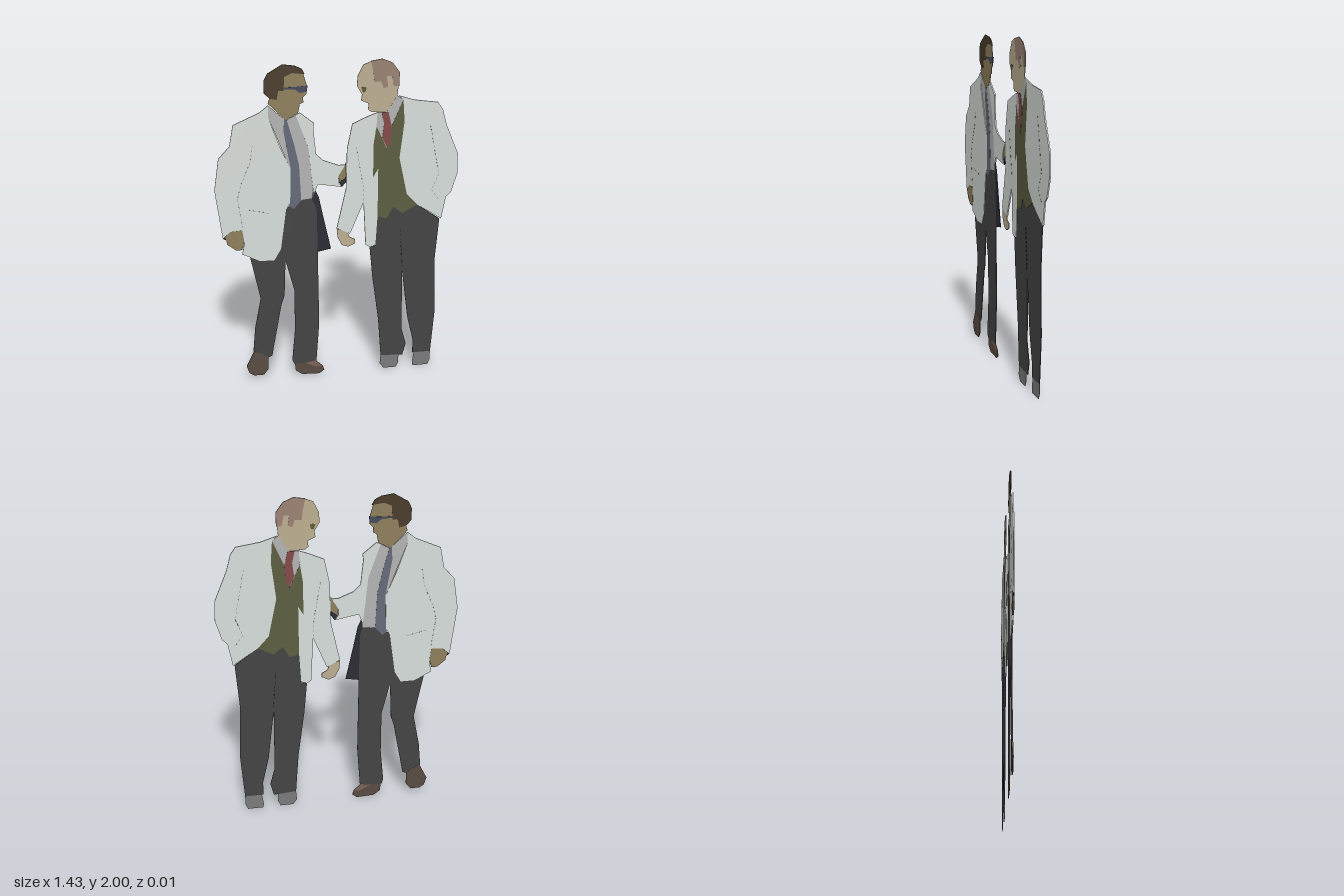
import * as THREE from 'three';

const COAT = 0xd8dfdb, TROUSERS = 0x444444, SEAM = 0x858e8a;

// Wafer-thin cut-out, centred on z = 0; higher layers are slightly thicker so they show on both faces.
function panel(group, name, color, layer, pts) {
  const depth = 0.002 + layer * 0.002;
  const shape = new THREE.Shape(pts.map(([x, y]) => new THREE.Vector2(x, y)));
  const geo = new THREE.ExtrudeGeometry(shape, { depth, bevelEnabled: false });
  geo.translate(0, 0, -depth / 2);
  const mesh = new THREE.Mesh(geo, new THREE.MeshStandardMaterial({ color }));
  mesh.name = name;
  group.add(mesh);
}

// Fine dashed crease along a polyline
function seam(group, name, pts, color = SEAM) {
  const seamGroup = new THREE.Group();
  seamGroup.name = name;
  for (let i = 0; i + 1 < pts.length; i++) {
    const a = new THREE.Vector2(...pts[i]), b = new THREE.Vector2(...pts[i + 1]);
    const n = Math.max(1, Math.round(a.distanceTo(b) / 0.025));
    const dir = b.clone().sub(a).normalize().multiplyScalar(0.0015);
    for (let k = 0; k < n; k++) {
      const p = a.clone().lerp(b, k / n), q = a.clone().lerp(b, (k + 0.55) / n);
      panel(seamGroup, 'stitch', color, 4, [
        [p.x - dir.y, p.y + dir.x], [p.x + dir.y, p.y - dir.x],
        [q.x + dir.y, q.y - dir.x], [q.x - dir.y, q.y + dir.x]]);
    }
  }
  group.add(seamGroup);
}

// Man with dark hair and sunglasses, reaching out an arm
function manWithGlasses() {
  const g = new THREE.Group();
  g.name = 'manWithGlasses';
  const skin = 0x8f7f5c, shoe = 0x5a4d43, dark = 0x2c2d35;

  // Head
  panel(g, 'face', skin, 1, [[-.20, 1.94], [-.18, 1.87], [-.18, 1.82], [-.20, 1.80], [-.20, 1.77], [-.22, 1.76],
    [-.23, 1.71], [-.30, 1.67], [-.35, 1.72], [-.40, 1.77], [-.39, 1.80], [-.35, 1.86], [-.30, 1.94]]);
  panel(g, 'hair', 0x4a3c2b, 2, [[-.42, 1.90], [-.40, 1.94], [-.315, 1.99], [-.245, 1.98], [-.205, 1.96], [-.19, 1.93],
    [-.26, 1.94], [-.305, 1.92], [-.31, 1.84], [-.34, 1.84], [-.35, 1.79], [-.39, 1.80], [-.42, 1.83]]);
  panel(g, 'sunglasses', 0x474b5c, 3, [[-.31, 1.86], [-.24, 1.86], [-.175, 1.865], [-.18, 1.83], [-.22, 1.825],
    [-.245, 1.845], [-.31, 1.85]]);

  // Shirt and tie
  panel(g, 'shirt', 0xb4b4b5, 1, [[-.40, 1.76], [-.30, 1.67], [-.22, 1.71], [-.17, 1.50], [-.145, 1.26], [-.145, 1.19],
    [-.21, 1.18], [-.28, 1.17], [-.29, 1.40], [-.40, 1.69]]);
  panel(g, 'tie', 0x666a79, 2, [[-.31, 1.68], [-.295, 1.67], [-.255, 1.52], [-.23, 1.40], [-.22, 1.18], [-.265, 1.13],
    [-.29, 1.15], [-.28, 1.39], [-.315, 1.60]]);

  // Coat
  panel(g, 'coatRight', COAT, 3, [[-.40, 1.76], [-.45, 1.72], [-.60, 1.655], [-.625, 1.53], [-.69, 1.46], [-.72, 1.27],
    [-.685, .97], [-.64, 1.01], [-.57, 1.015], [-.56, .93], [-.575, .86], [-.53, .84], [-.47, .81], [-.385, .81],
    [-.345, .88], [-.31, 1.13], [-.285, 1.17], [-.28, 1.38], [-.34, 1.52], [-.40, 1.69]]);
  panel(g, 'coatLeftSleeve', COAT, 3, [[-.245, 1.70], [-.22, 1.71], [-.14, 1.645], [-.145, 1.61], [-.13, 1.46],
    [-.09, 1.42], [0, 1.385], [.04, 1.385], [0, 1.32], [0, 1.28], [.02, 1.25], [-.12, 1.275], [-.145, 1.22],
    [-.155, 1.30], [-.175, 1.50]]);
  panel(g, 'coatLining', dark, 1, [[-.15, 1.27], [-.115, 1.19], [-.095, 1.09], [-.045, .86], [-.125, .845],
    [-.13, 1.12], [-.16, 1.19]]);
  seam(g, 'sleeveSeam', [[-.495, 1.53], [-.51, 1.43], [-.57, 1.29], [-.59, 1.21], [-.565, 1.02]]);
  seam(g, 'pocketSeam', [[-.53, 1.14], [-.40, 1.11]]);

  // Hands
  panel(g, 'rightHand', skin, 4, [[-.67, .98], [-.64, 1.01], [-.57, 1.015], [-.56, .94], [-.575, .89], [-.61, .89], [-.66, .93]]);
  panel(g, 'rightCuff', dark, 2, [[-.685, .97], [-.66, 1.0], [-.64, .97], [-.67, .96]]);
  panel(g, 'leftHand', skin, 1, [[.045, 1.40], [.045, 1.31], [.005, 1.275], [0, 1.32]]);
  panel(g, 'leftCuff', dark, 2, [[.045, 1.31], [.045, 1.28], [.02, 1.25], [.005, 1.28]]);

  // Trousers and shoes
  panel(g, 'trousers', TROUSERS, 1, [[-.53, .84], [-.475, .56], [-.515, .36], [-.53, .20], [-.49, .19], [-.45, .145],
    [-.415, .16], [-.35, .51], [-.33, .57], [-.32, .80], [-.27, .60], [-.27, .33], [-.29, .12], [-.28, .09],
    [-.14, .09], [-.12, .36], [-.125, .84], [-.13, 1.14], [-.145, 1.19], [-.21, 1.185], [-.28, 1.15],
    [-.31, 1.14], [-.35, .87], [-.39, .81]]);
  panel(g, 'rightShoe', shoe, 2, [[-.525, .20], [-.575, .10], [-.56, .05], [-.53, .03], [-.47, .03], [-.44, .07],
    [-.44, .15], [-.49, .19]]);
  panel(g, 'leftShoe', shoe, 0, [[-.275, .10], [-.27, .04], [-.23, .01], [-.12, .005], [-.09, .03], [-.10, .06], [-.145, .10]]);
  panel(g, 'leftShoeTop', 0x7d6459, 1, [[-.21, .09], [-.145, .10], [-.10, .06], [-.14, .055]]);
  return g;
}

// Balding man in a waistcoat, looking down
function manInWaistcoat() {
  const g = new THREE.Group();
  g.name = 'manInWaistcoat';
  const skin = 0xbcae91;

  // Head
  panel(g, 'face', skin, 1, [[.11, 1.91], [.14, 1.97], [.19, 1.99], [.25, 1.95], [.32, 1.90], [.345, 1.84], [.34, 1.785],
    [.29, 1.69], [.19, 1.695], [.17, 1.71], [.175, 1.745], [.13, 1.765], [.135, 1.80], [.105, 1.85]]);
  panel(g, 'hair', 0x9b8273, 2, [[.185, 1.99], [.25, 2.0], [.31, 1.975], [.35, 1.92], [.35, 1.84], [.32, 1.84],
    [.305, 1.90], [.275, 1.90], [.285, 1.84], [.26, 1.83], [.245, 1.87], [.205, 1.87], [.20, 1.92]]);
  panel(g, 'eye', 0x5d5a35, 2, [[.13, 1.84], [.145, 1.845], [.16, 1.835], [.155, 1.815], [.14, 1.81]]);

  // Shirt, tie and waistcoat
  panel(g, 'shirt', 0xb4b4b5, 2, [[.34, 1.785], [.375, 1.76], [.31, 1.58], [.28, 1.46], [.21, 1.60], [.225, 1.69], [.28, 1.69]]);
  panel(g, 'tie', 0x85494a, 4, [[.25, 1.69], [.29, 1.69], [.31, 1.60], [.30, 1.50], [.285, 1.475], [.255, 1.54], [.265, 1.62]]);
  panel(g, 'waistcoat', 0x5b5e40, 3, [[.375, 1.76], [.385, 1.63], [.36, 1.41], [.41, 1.18], [.475, 1.11], [.385, 1.06],
    [.33, 1.105], [.29, 1.035], [.235, 1.05], [.235, 1.35], [.205, 1.30], [.205, 1.50], [.22, 1.61],
    [.285, 1.47], [.31, 1.61]]);

  // Coat
  panel(g, 'coatRight', COAT, 3, [[.225, 1.69], [.17, 1.67], [.08, 1.63], [.05, 1.48], [.045, 1.24], [-.01, .99],
    [.07, .95], [.15, 1.145], [.165, .87], [.19, .855], [.225, .865], [.235, 1.05], [.235, 1.35],
    [.205, 1.30], [.205, 1.50], [.22, 1.60]]);
  panel(g, 'coatLeft', COAT, 3, [[.345, 1.785], [.44, 1.755], [.58, 1.735], [.61, 1.69], [.635, 1.60], [.71, 1.42],
    [.715, 1.30], [.68, 1.18], [.65, 1.15], [.625, 1.01], [.475, 1.11], [.41, 1.18], [.36, 1.41],
    [.385, 1.63], [.375, 1.76]]);
  seam(g, 'rightSleeveSeam', [[.105, 1.49], [.15, 1.23], [.15, 1.145]]);
  seam(g, 'leftSleeveSeam', [[.54, 1.60], [.60, 1.30], [.56, 1.20], [.61, 1.13]]);
  panel(g, 'rightHand', skin, 2, [[-.01, .985], [.055, .965], [.065, .93], [.10, .91], [.10, .885], [.06, .865],
    [.02, .88], [-.005, .93]]);

  // Trousers and shoes
  panel(g, 'trousers', TROUSERS, 1, [[.235, 1.06], [.29, 1.05], [.33, 1.11], [.385, 1.07], [.475, 1.11], [.615, 1.01],
    [.595, .73], [.61, .39], [.59, .10], [.475, .10], [.475, .19], [.435, .36], [.395, .68], [.40, .28],
    [.43, .17], [.41, .09], [.27, .10], [.25, .36], [.21, .65], [.19, .855], [.225, .86]]);
  seam(g, 'trouserCrease', [[.375, .95], [.395, .70]], 0x2a2a2a);
  panel(g, 'rightShoe', 0x7b7b7d, 0, [[.27, .10], [.265, .04], [.29, .005], [.37, .005], [.385, .04], [.385, .10]]);
  panel(g, 'leftShoe', 0x7b7b7d, 0, [[.485, .10], [.475, .03], [.48, .005], [.575, .005], [.59, .04], [.59, .10]]);
  return g;
}

export function createModel() {
  const model = new THREE.Group();
  model.name = 'twoStandingMen';
  model.add(manWithGlasses(), manInWaistcoat());
  return model;
}
